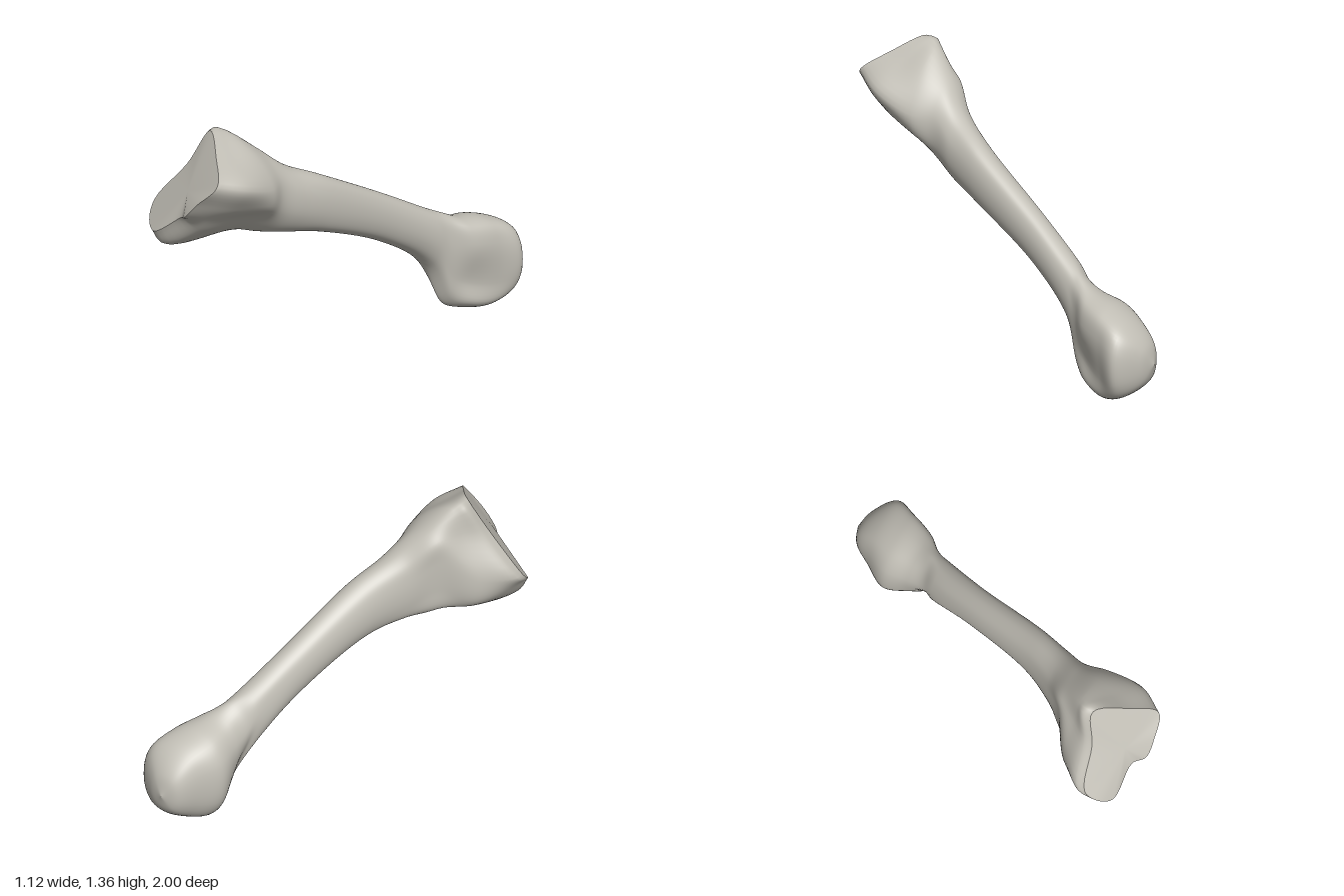
import * as THREE from 'three';

const SIDES = 10;   // control points per cross-section, starting at the top, counter-clockwise
const AROUND = 60;  // sampled points per cross-section
const STEPS = 8;    // sampled rings between two cross-sections

// Rounded cross-section at depth z from its x and y ranges.
// shift moves its top and bottom sideways, dent pushes in the lower +x side,
// tuck pulls in the lower -x corner, and a lower power makes it boxier.
function oval(z, x0, x1, y0, y1, { shift = 0, dent = 0, tuck = 0, power = 0.9 } = {}) {
  const soften = v => Math.sign(v) * Math.abs(v) ** power;
  return Array.from({ length: SIDES }, (_, k) => {
    const a = Math.PI / 2 + (k / SIDES) * Math.PI * 2;
    const c = soften(Math.cos(a)) * 1.025, s = soften(Math.sin(a));
    const push = (k === 3 || k === 4 ? tuck : 0) - (k === 7 ? dent : 0);
    const x = (x0 + x1 + c * (x1 - x0)) / 2 + shift * s * s + push;
    return new THREE.Vector3(x, (y0 + y1 + s * (y1 - y0)) / 2, z);
  });
}

// Rim of the slanted joint face, with a notch between its two lobes
const rim = [
  [-0.29, 1.355, 0.71], [-0.39, 1.17, 0.76], [-0.555, 0.95, 0.81], [-0.535, 0.87, 0.89], [-0.48, 0.84, 0.935],
  [-0.31, 0.96, 0.945], [-0.26, 0.99, 0.995], [-0.18, 1.08, 1], [-0.08, 1.19, 0.97], [-0.165, 1.283, 0.845],
].map(p => new THREE.Vector3(...p));

// Just behind the rim: set back, swelling out towards the +x side and sagging below the -x lobe
const swelling = rim.map((p, k) => {
  const w = Math.max(0, Math.cos((k - 7.1) * Math.PI * 2 / SIDES));
  const sag = k === 4 || k === 5 ? 0.08 : 0;
  return new THREE.Vector3(p.x + 0.11 * w + sag * 0.3, p.y - 0.06 * w - sag, p.z - 0.05 - 0.11 * w);
});

// Neck where the upper end flares out of the shaft
const neck = [
  [-0.27, 1.33], [-0.33, 1.18], [-0.43, 0.98], [-0.42, 0.83], [-0.33, 0.765],
  [-0.2, 0.8], [-0.09, 0.89], [0.01, 0.96], [0.03, 1.07], [-0.09, 1.24],
].map(([x, y]) => new THREE.Vector3(x, y, 0.62));

// Cross-sections from the rounded lower end (back) to the broad upper end (front)
const sections = [
  oval(-1, 0.36, 0.36, 0.23, 0.23),
  oval(-0.965, 0.285, 0.45, 0.125, 0.34, { power: 0.8 }),
  oval(-0.87, 0.225, 0.55, 0.045, 0.44, { power: 0.75 }),
  oval(-0.75, 0.155, 0.5, 0, 0.495, { shift: 0.03, dent: 0.02, power: 0.75 }),
  oval(-0.62, 0.165, 0.44, 0.025, 0.525, { shift: 0.02, dent: 0.04, tuck: 0.03, power: 0.8 }),
  oval(-0.54, 0.165, 0.37, 0.07, 0.565, { shift: 0.02, dent: 0.01, tuck: 0.05 }),
  oval(-0.46, 0.145, 0.33, 0.295, 0.61),
  oval(-0.2, 0.06, 0.23, 0.5, 0.77),
  oval(0.2, -0.08, 0.115, 0.68, 1),
  oval(0.38, -0.18, 0.055, 0.725, 1.1, { shift: -0.02 }),
  oval(0.5, -0.27, 0.015, 0.75, 1.22, { shift: -0.06 }),
  neck, swelling, rim,
];

// Curves run along the bone, then a closed curve runs around each ring
function sampleRings() {
  const along = Array.from({ length: SIDES }, (_, k) =>
    new THREE.CatmullRomCurve3(sections.map(s => s[k])));
  const count = (sections.length - 1) * STEPS;
  return Array.from({ length: count + 1 }, (_, i) => {
    const loop = new THREE.CatmullRomCurve3(along.map(c => c.getPoint(i / count)), true);
    return Array.from({ length: AROUND }, (_, j) => loop.getPoint(j / AROUND));
  });
}

function toGeometry(points, index) {
  const geometry = new THREE.BufferGeometry().setFromPoints(points);
  geometry.setIndex(index);
  geometry.computeVertexNormals();
  return geometry;
}

function skinGeometry(rings) {
  const index = [];
  for (let i = 0; i < rings.length - 1; i++) {
    for (let j = 0; j < AROUND; j++) {
      const a = i * AROUND + j, b = i * AROUND + (j + 1) % AROUND;
      index.push(a, b, a + AROUND, b, b + AROUND, a + AROUND);
    }
  }
  return toGeometry(rings.flat(), index);
}

// Slanted joint face closing the upper end
function faceGeometry(edge) {
  const index = [];
  for (let j = 0; j < AROUND; j++) index.push(0, 1 + j, 1 + (j + 1) % AROUND);
  return toGeometry([new THREE.Vector3(-0.3, 1.09, 0.9), ...edge], index);
}

export function createModel() {
  const bone = new THREE.MeshStandardMaterial({ color: 0xc1beb5 });
  bone.name = 'bone';
  const group = new THREE.Group();
  group.name = 'legBone';
  const rings = sampleRings();

  const shaft = new THREE.Mesh(skinGeometry(rings), bone);
  shaft.name = 'boneShaftAndEnds';
  const jointFace = new THREE.Mesh(faceGeometry(rings[rings.length - 1]), bone);
  jointFace.name = 'upperJointFace';
  group.add(shaft, jointFace);
  return group;
}
